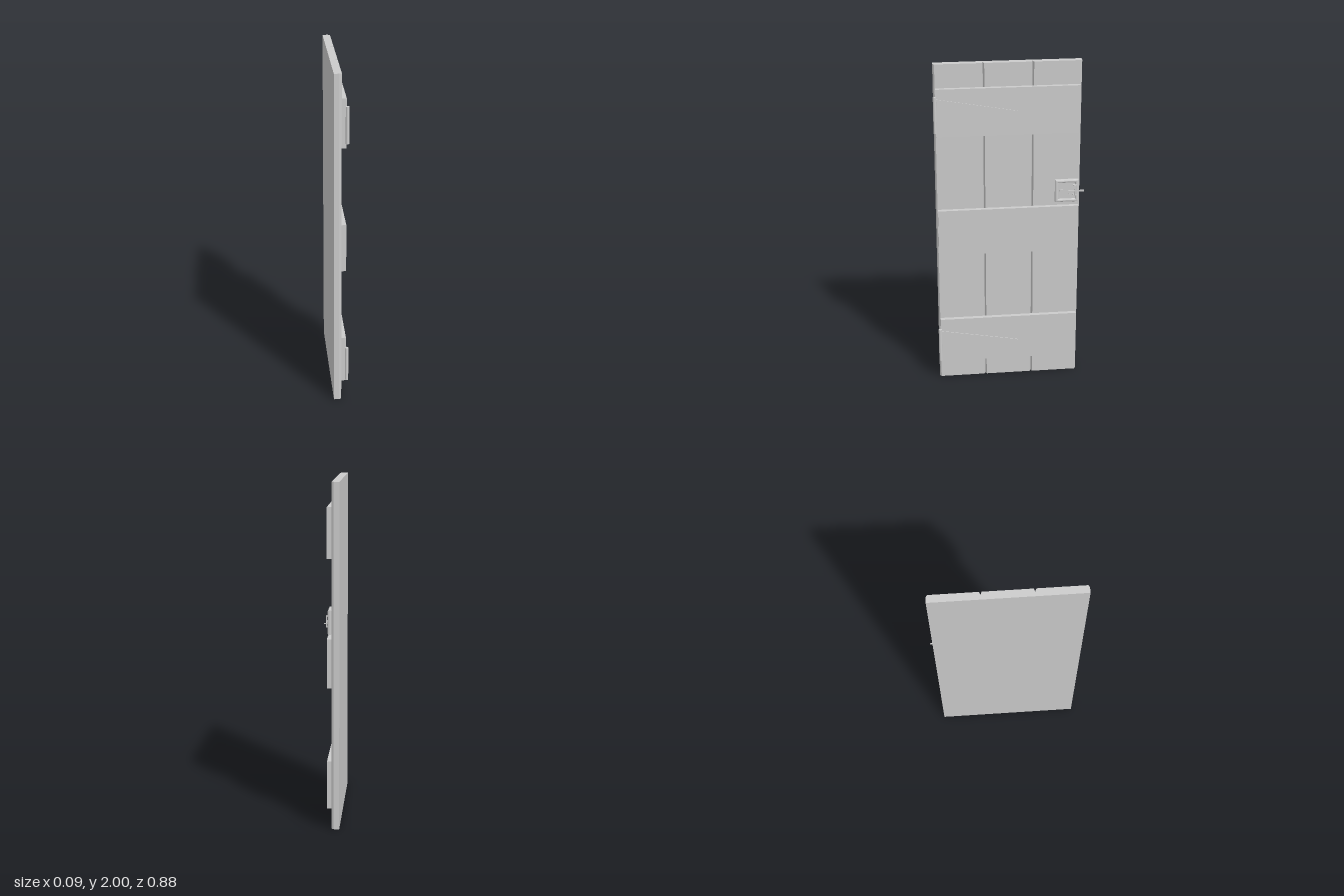
import * as THREE from 'three';

export function createModel() {
  const door = new THREE.Group();
  door.name = 'plankDoor';
  const mat = new THREE.MeshStandardMaterial({ color: 0xcccccc, flatShading: true });
  const smooth = new THREE.MeshStandardMaterial({ color: 0xcccccc });

  function add(parent, name, geo, x = 0, y = 0, z = 0, m = mat) {
    const mesh = new THREE.Mesh(geo, m);
    mesh.name = name;
    mesh.position.set(x, y, z);
    parent.add(mesh);
    return mesh;
  }
  const box = (w, h, d) => new THREE.BoxGeometry(w, h, d);

  // Plank slab: plan section (x, -z) with chamfered edges and two V grooves
  const face = -0.003, back = -0.047;
  const plan = new THREE.Shape();
  plan.moveTo(back, -0.435);
  plan.lineTo(-0.018, -0.435);
  plan.lineTo(-0.008, -0.431);
  plan.lineTo(face, -0.426);
  for (const g of [-0.15, 0.135]) {
    plan.lineTo(face, g - 0.007);
    plan.lineTo(-0.012, g - 0.003);
    plan.lineTo(-0.022, g);
    plan.lineTo(-0.012, g + 0.003);
    plan.lineTo(face, g + 0.007);
  }
  plan.lineTo(face, 0.411);
  plan.lineTo(-0.008, 0.416);
  plan.lineTo(-0.018, 0.42);
  plan.lineTo(back, 0.42);
  plan.closePath();
  const slab = new THREE.ExtrudeGeometry(plan, { depth: 2, bevelEnabled: false });
  slab.rotateX(-Math.PI / 2);
  add(door, 'planks', slab);

  // Three cross battens
  for (const y of [0.264, 0.978, 1.718]) {
    add(door, 'batten', box(0.028, 0.285, 0.835), 0.01, y, 0.0075);
  }

  // Strap hinges: tapered plate with a rounded tip, and a barrel
  const strap = new THREE.Shape();
  strap.moveTo(-0.425, -0.095);
  strap.lineTo(0.036, -0.014);
  strap.absarc(0.036, 0, 0.014, -Math.PI / 2, Math.PI / 2, false);
  strap.lineTo(-0.425, 0.095);
  strap.closePath();
  const strapGeo = new THREE.ExtrudeGeometry(strap, { depth: 0.004, bevelEnabled: false, curveSegments: 8 });
  strapGeo.rotateY(Math.PI / 2);
  for (const y of [0.237, 1.71]) {
    const hinge = new THREE.Group();
    hinge.name = 'hinge';
    hinge.position.y = y;
    add(hinge, 'strap', strapGeo, 0.026, 0, 0);
    add(hinge, 'barrel', new THREE.CylinderGeometry(0.01, 0.01, 0.212, 20), 0.028, 0, 0.43, smooth);
    door.add(hinge);
  }

  // Latch: framed plate with lever, pivot, keeper and peg
  const latch = new THREE.Group();
  latch.name = 'latch';
  latch.position.set(0, 1.215, -0.34);
  door.add(latch);
  const rect = (s, a) => {
    s.moveTo(-a, -a);
    s.lineTo(a, -a);
    s.lineTo(a, a);
    s.lineTo(-a, a);
    s.closePath();
    return s;
  };
  const frame = rect(new THREE.Shape(), 0.062);
  frame.holes.push(rect(new THREE.Path(), 0.058));
  const frameGeo = new THREE.ExtrudeGeometry(frame, {
    depth: 0.012, bevelThickness: 0.006, bevelSize: 0.008, bevelSegments: 2,
  });
  frameGeo.rotateY(Math.PI / 2);
  add(latch, 'latchFrame', frameGeo, 0.002, 0, 0);
  add(latch, 'latchPlate', box(0.018, 0.13, 0.13), 0.005, 0, 0);

  const pivot = new THREE.CylinderGeometry(0.013, 0.013, 0.012, 16);
  pivot.rotateZ(Math.PI / 2);
  add(latch, 'leverPivot', pivot, 0.02, 0, 0.034);
  add(latch, 'lever', box(0.005, 0.009, 0.135), 0.0235, 0, -0.034);
  add(latch, 'keeper', box(0.006, 0.065, 0.008), 0.027, 0.005, -0.047);
  for (const y of [-0.025, 0.035]) {
    add(latch, 'keeperFoot', box(0.016, 0.008, 0.022), 0.02, y, -0.047);
  }
  const peg = new THREE.CylinderGeometry(0.002, 0.003, 0.03, 8);
  peg.rotateZ(-Math.PI / 2);
  add(latch, 'peg', peg, 0.029, -0.015, -0.012);
  add(latch, 'pegArm', box(0.004, 0.022, 0.005), 0.026, -0.008, -0.012);

  return door;
}
